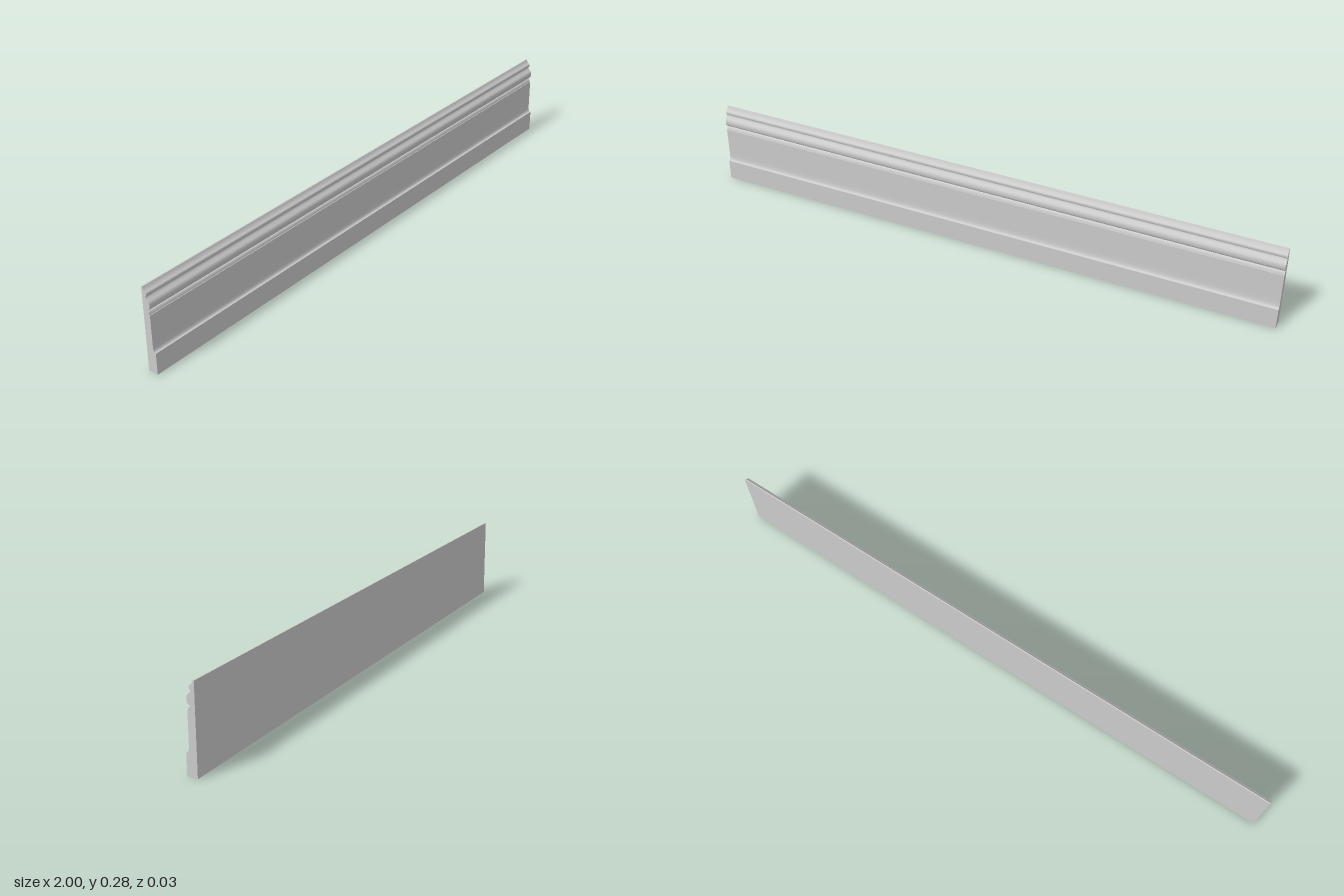
import * as THREE from 'three';
import { toCreasedNormals } from 'three/addons/utils/BufferGeometryUtils.js';

export function createModel() {
  const group = new THREE.Group();
  group.name = 'skirtingBoard';

  // Moulding profile in hundredths of a unit: x is depth (front is +), y is height
  const profile = new THREE.Shape();
  profile.moveTo(-1.7, 0);
  profile.lineTo(1.7, 0);
  // plinth with a cove up to the flat face
  profile.lineTo(1.7, 7.1);
  profile.bezierCurveTo(0.9, 7.2, 0.75, 7.8, 0.75, 10.2);
  profile.lineTo(0.75, 19.4);
  // small cove under the large bead
  profile.lineTo(0.55, 19.4);
  profile.bezierCurveTo(0.4, 20.2, 0.2, 20.5, -0.2, 20.6);
  profile.lineTo(-0.2, 20.9);
  // large bead
  profile.bezierCurveTo(0.5, 20.7, 0.9, 21.5, 0.9, 22.5);
  profile.bezierCurveTo(0.9, 23.9, 0.0, 23.9, -0.4, 24.9);
  // small bead and sloped top
  profile.lineTo(-0.4, 25.2);
  profile.bezierCurveTo(-0.1, 25.2, 0.0, 25.5, 0.0, 25.9);
  profile.bezierCurveTo(0.0, 26.7, -0.7, 26.3, -1.3, 28.0);
  profile.lineTo(-1.7, 28.0);
  profile.closePath();

  // Run the profile along x; crease at large scale, then shrink to size
  let geometry = new THREE.ExtrudeGeometry(profile, { depth: 200, bevelEnabled: false, curveSegments: 12 });
  geometry.rotateY(-Math.PI / 2);
  geometry.translate(100, 0, 0);
  geometry = toCreasedNormals(geometry, Math.PI / 6);
  geometry.scale(0.01, 0.01, 0.01);

  const board = new THREE.Mesh(geometry, new THREE.MeshStandardMaterial({ color: 0xcccccc }));
  board.name = 'mouldedBoard';
  group.add(board);
  return group;
}
